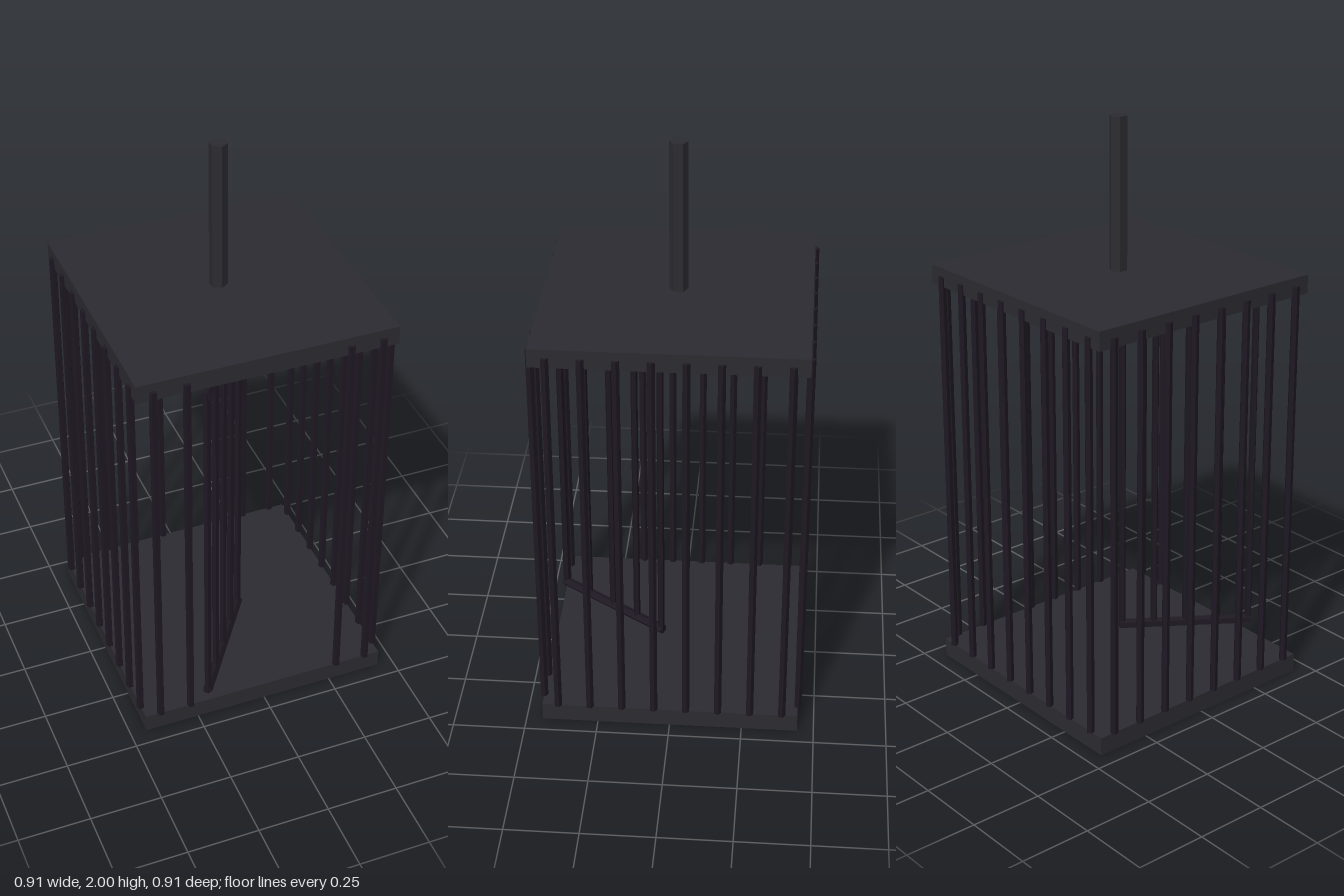
import * as THREE from 'three';

const plateMat = new THREE.MeshStandardMaterial({ color: 0x2c2b31, flatShading: true });
const barMat = new THREE.MeshStandardMaterial({ color: 0x1e1822, flatShading: true });

const HALF = 0.443;         // half width of the plates
const BAR_R = 0.0137;

export function createModel() {
  const cage = new THREE.Group();
  cage.name = 'hangingCage';

  const add = (parent, name, geometry, material, x, y, z) => {
    const mesh = new THREE.Mesh(geometry, material);
    mesh.name = name;
    mesh.position.set(x, y, z);
    parent.add(mesh);
    return mesh;
  };

  // Floor and roof plates
  const plate = new THREE.BoxGeometry(HALF * 2, 0.065, HALF * 2);
  add(cage, 'floorPlate', plate, plateMat, 0, 0.0325, 0);
  add(cage, 'roofPlate', plate, plateMat, 0, 1.4475, 0);

  // Hexagonal hanging pole
  add(cage, 'hangingPole', new THREE.CylinderGeometry(0.031, 0.031, 0.54, 6), plateMat, 0, 1.73, 0);

  // Five-sided bars around the edge, with a doorway in the front
  const bar = new THREE.CylinderGeometry(BAR_R, BAR_R, 1.385, 5).rotateY(Math.PI);
  const bars = new THREE.Group();
  bars.name = 'bars';
  cage.add(bars);
  for (let i = 0; i < 8; i++) {
    const p = (i - 3.5) * 0.1107;
    add(bars, 'backBar', bar, barMat, p, 0.7575, -HALF);
    add(bars, 'leftBar', bar, barMat, HALF, 0.7575, p);
    add(bars, 'rightBar', bar, barMat, -HALF, 0.7575, p);
    if (i < 2 || i > 5) add(bars, 'frontBar', bar, barMat, p, 0.7575, HALF);
  }

  // Door swung inwards on its hinge side
  const hinge = new THREE.Vector3(-0.21, 0, 0.437);
  const free = new THREE.Vector3(0.05, 0, 0.06);
  const along = free.clone().sub(hinge);
  const length = along.length();
  const door = new THREE.Group();
  door.name = 'door';
  door.position.copy(hinge);
  door.rotation.y = Math.atan2(-along.z, along.x);
  cage.add(door);

  const doorBar = new THREE.CylinderGeometry(0.0125, 0.0125, 1.29, 5);
  for (let i = 0; i < 5; i++) add(door, 'doorBar', doorBar, barMat, (length * i) / 4, 0.75, 0);

  const rail = new THREE.CylinderGeometry(0.0175, 0.0175, length + 0.02, 5).rotateZ(Math.PI / 2);
  for (const y of [0.115, 1.385]) add(door, 'doorRail', rail, barMat, length / 2, y, 0);

  return cage;
}
